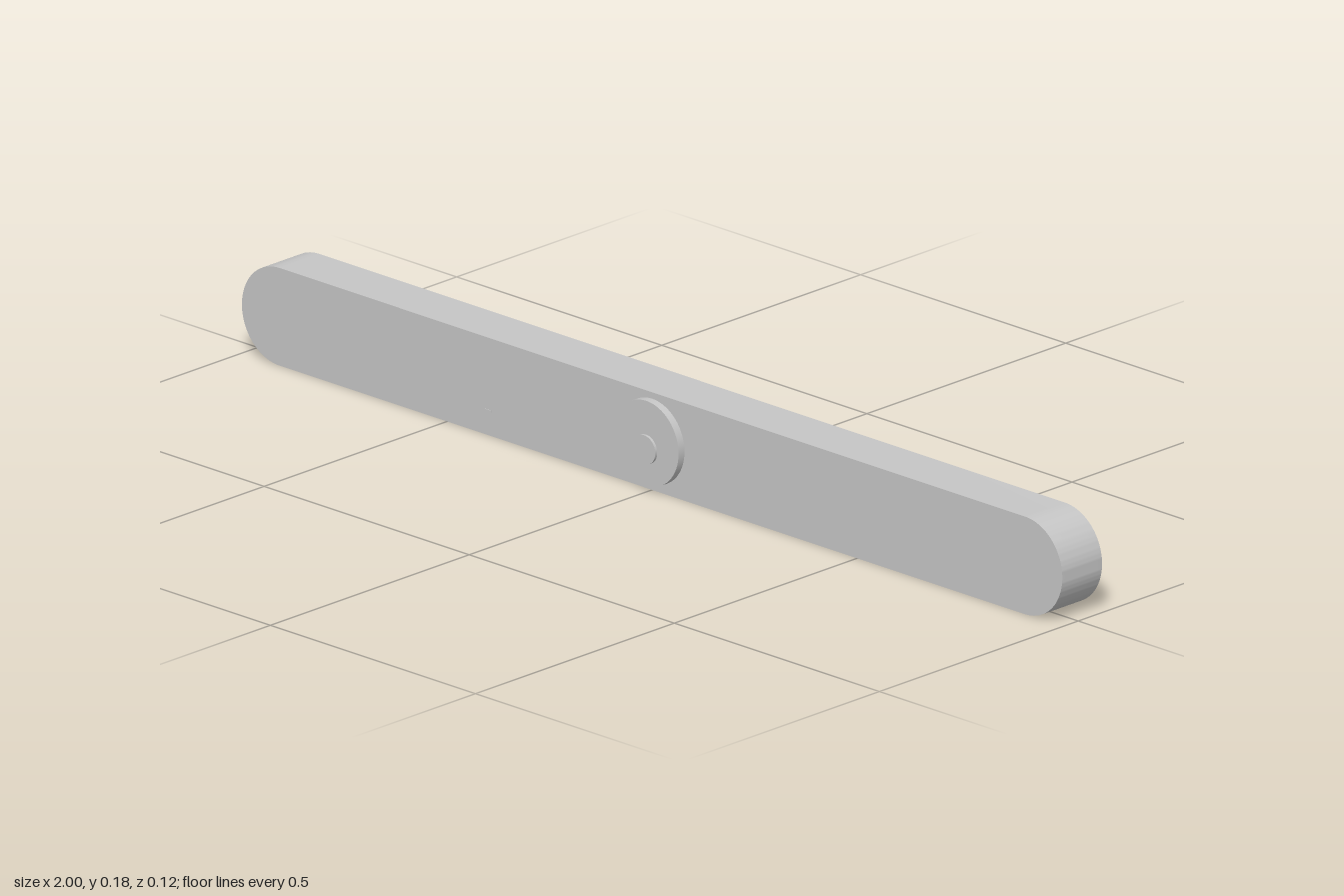
import * as THREE from 'three';
import { toCreasedNormals } from 'three/addons/utils/BufferGeometryUtils.js';

const R = 0.091; // half height of the bar
const FRONT = 0.04;
const BACK = -0.06;

export function createModel() {
  const model = new THREE.Group();
  model.name = 'roundedBar';
  const grey = new THREE.MeshStandardMaterial({ color: 0xc6c6c6 });
  grey.name = 'light grey';

  const add = (name, geometry, x, y, z) => {
    const mesh = new THREE.Mesh(geometry, grey);
    mesh.name = name;
    mesh.position.set(x, y, z);
    model.add(mesh);
  };

  // Long bar with semicircular ends
  const outline = new THREE.Shape();
  outline.absarc(1 - R, 0, R, -Math.PI / 2, Math.PI / 2, false);
  outline.absarc(-1 + R, 0, R, Math.PI / 2, Math.PI * 1.5, false);
  outline.closePath();
  const bar = new THREE.ExtrudeGeometry(outline, {
    depth: FRONT - BACK, bevelEnabled: false, curveSegments: 32,
  });
  add('bar', toCreasedNormals(bar, 0.6), 0, R, BACK);

  // Round discs on the front, each facing +z
  const disc = (name, radius, y, z0, z1) => {
    const geometry = new THREE.CylinderGeometry(radius, radius, z1 - z0, 64);
    geometry.rotateX(Math.PI / 2);
    add(name, geometry, 0, y, (z0 + z1) / 2);
  };
  disc('dial', 0.079, R, FRONT, 0.055);
  disc('button', 0.027, 0.08, 0.055, 0.06);

  // Tiny raised mark on the front
  add('mark', new THREE.BoxGeometry(0.016, 0.004, 0.002), -0.4, 0.046, FRONT);

  return model;
}
